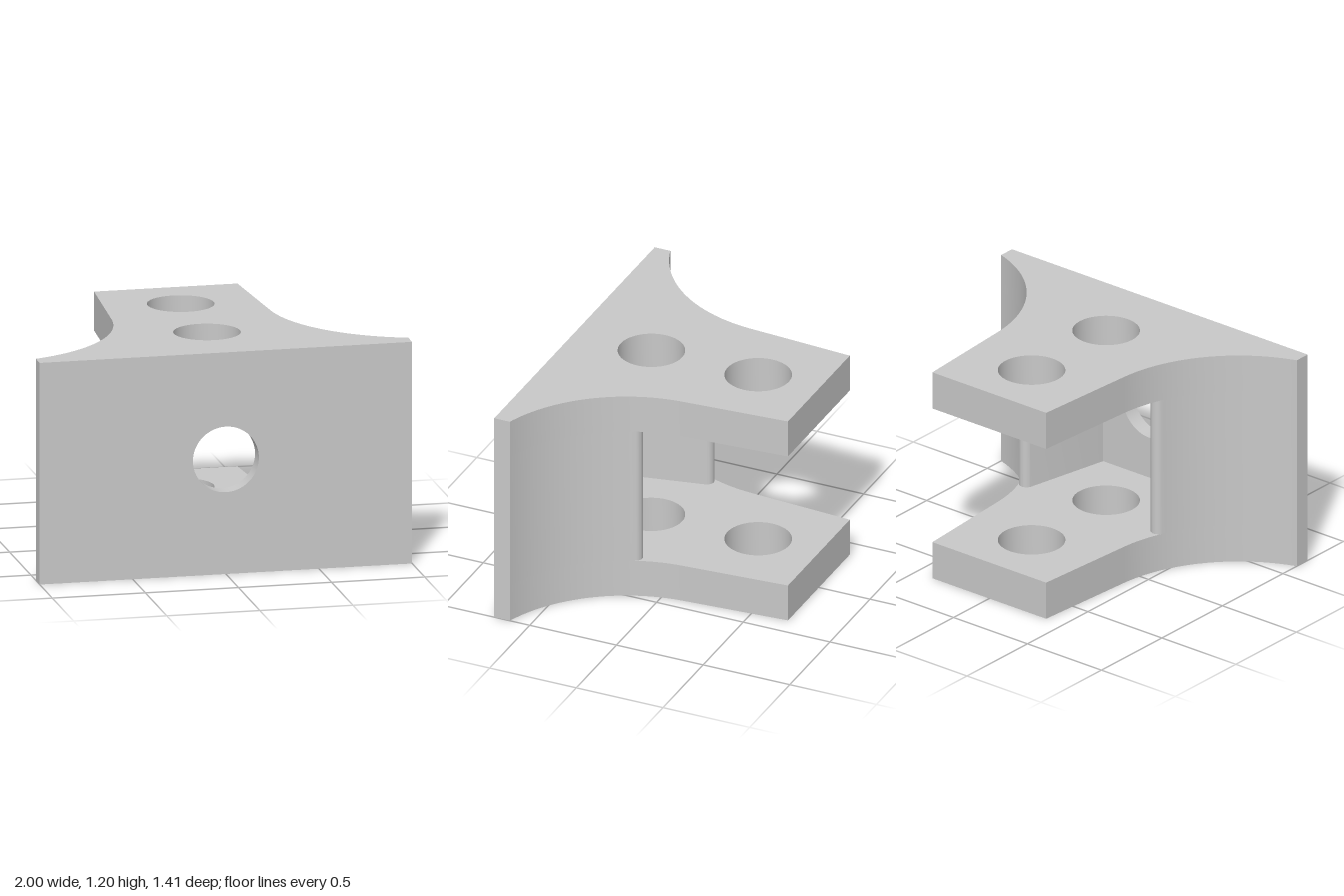
import * as THREE from 'three';
import { toCreasedNormals } from 'three/addons/utils/BufferGeometryUtils.js';

const FRONT = 0.705, WALL = 0.615;          // front slab faces in z
const HEIGHT = 1.197, PLATE = 0.21;         // total height, plate thickness
const HOLE = 0.177;
const ARC = { x: 1.2508, z: -0.172, r: 0.826, start: 0.075, end: 1.2625 };
const CAP = { angle: 0.378, r: 0.04 };      // rounded rear end of a side wall

// Points of the concave flank, as (x, z), from angle a to angle b
function flank(a, b, n) {
  return Array.from({ length: n + 1 }, (_, i) => {
    const t = a + (b - a) * i / n;
    return [ARC.x - ARC.r * Math.cos(t), ARC.z + ARC.r * Math.sin(t)];
  });
}

function addHole(shape, x, y) {
  const hole = new THREE.Path();
  hole.absarc(x, y, HOLE, 0, Math.PI * 2, true);
  shape.holes.push(hole);
}

function extrude(shape, depth) {
  const g = new THREE.ExtrudeGeometry(shape, { depth, bevelEnabled: false, curveSegments: 48 });
  return toCreasedNormals(g, 0.45);
}

// Plan outline given as (x, z) pairs, becoming a shape that is raised along y
const planShape = (pts) => new THREE.Shape(pts.map(([x, z]) => new THREE.Vector2(x, -z)));
const mirrored = (pts) => pts.map(([x, z]) => [-x, z]);

export function createModel() {
  const group = new THREE.Group();
  const grey = new THREE.MeshStandardMaterial({ color: 0xc8c8c8 });
  grey.name = 'grey';

  const add = (name, geometry) => {
    const mesh = new THREE.Mesh(geometry, grey);
    mesh.name = name;
    group.add(mesh);
  };

  // Front slab with a round hole
  const front = new THREE.Shape();
  front.moveTo(-1, 0).lineTo(1, 0).lineTo(1, HEIGHT).lineTo(-1, HEIGHT).closePath();
  addHole(front, 0, 0.619);
  add('frontSlab', extrude(front, FRONT - WALL).translate(0, 0, WALL));

  // Top and bottom plates, flared towards the front, with two holes each
  const wallFlank = flank(CAP.angle, ARC.end, 32);
  const half = [[0.385, -FRONT], ...flank(ARC.start, CAP.angle, 12), ...wallFlank.slice(1)];
  const plate = planShape([...mirrored(half), ...half.slice().reverse()]);
  for (const z of [-0.355, 0.261]) addHole(plate, 0, -z);
  for (const [name, y] of [['bottomPlate', 0], ['topPlate', HEIGHT - PLATE]]) {
    add(name, extrude(plate, PLATE).rotateX(-Math.PI / 2).translate(0, y, 0));
  }

  // Side walls between the plates, with a rounded rear end tangent to the flank
  const [capX, capZ] = wallFlank[0];
  const cx = capX - CAP.r * Math.cos(CAP.angle);
  const cz = capZ + CAP.r * Math.sin(CAP.angle);
  const side = wallFlank.slice().reverse();
  for (let i = 1; i <= 16; i++) {
    const a = THREE.MathUtils.lerp(CAP.angle, Math.PI - 0.2, i / 16);
    side.push([cx + CAP.r * Math.cos(a), cz - CAP.r * Math.sin(a)]);
  }
  side.push([0.31, WALL]);
  for (const [name, pts] of [['leftWall', side], ['rightWall', mirrored(side)]]) {
    const wall = extrude(planShape(pts), HEIGHT - 2 * PLATE);
    add(name, wall.rotateX(-Math.PI / 2).translate(0, PLATE, 0));
  }

  return group;
}
